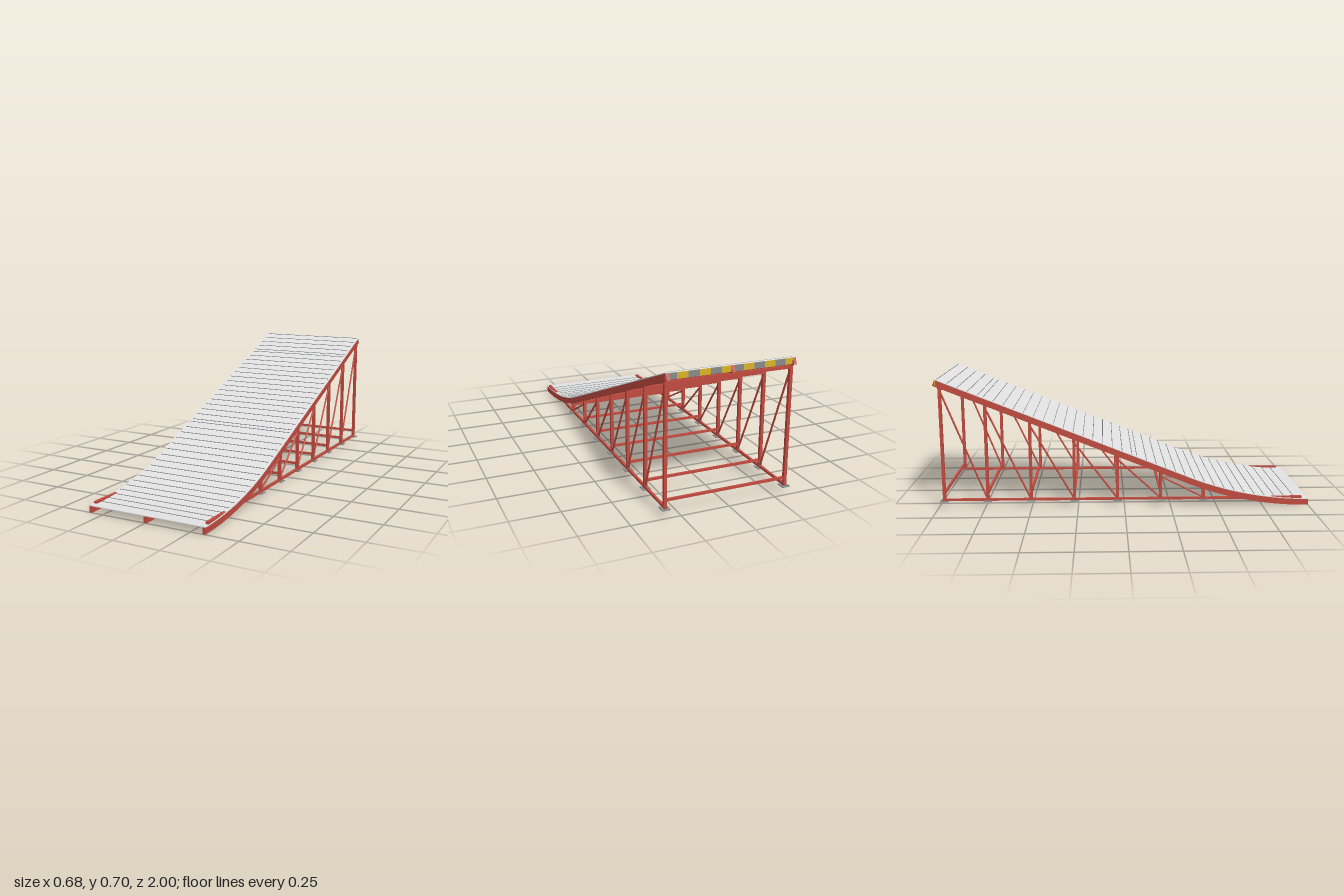
import * as THREE from 'three';

const mat = (name, color) =>
  Object.assign(new THREE.MeshStandardMaterial({ color }), { name });

export function createModel() {
  const model = new THREE.Group();
  model.name = 'ramp';
  const steel = mat('deckGrey', 0xe2e2e2);
  const red = mat('frameRed', 0xc24b40);
  const grey = mat('midGrey', 0x87898c);
  const yellow = mat('warningYellow', 0xd8b428);

  // Running surface: an arc that blends into a straight slope, by length s
  const angle = 0.3805, radius = 1.75, arc = radius * angle, total = 2.109;
  const startY = 0.037;
  function along(s, drop) {
    const a = Math.min(s / radius, angle), rest = Math.max(s - arc, 0);
    const u = radius * Math.sin(a) + rest * Math.cos(a);
    const h = radius * (1 - Math.cos(a)) + rest * Math.sin(a);
    return { a, z: 1 - u - drop * Math.sin(a), y: startY + h - drop * Math.cos(a) };
  }
  // Running surface height at a given z
  function heightAt(z) {
    const u = 1 - z, uArc = radius * Math.sin(angle);
    if (u < uArc) return startY + radius - Math.sqrt(radius * radius - u * u);
    return startY + radius * (1 - Math.cos(angle)) + (u - uArc) * Math.tan(angle);
  }

  function add(name, geometry, material) {
    const mesh = new THREE.Mesh(geometry, material);
    mesh.name = name;
    model.add(mesh);
    return mesh;
  }
  function box(name, w, h, d, x, y, z, material, tilt = 0) {
    const mesh = add(name, new THREE.BoxGeometry(w, h, d), material);
    mesh.position.set(x, y, z);
    mesh.rotation.x = tilt;
  }
  // Band that follows the running surface between two depths below it
  function band(name, width, x, top, bottom, material) {
    const stops = [];
    for (let i = 0; i <= 28; i++) stops.push((arc * i) / 28);
    stops.push(total);
    const lower = stops.map((s) => along(s, bottom));
    const upper = stops.map((s) => along(s, top)).reverse();
    const shape = new THREE.Shape([...lower, ...upper].map((p) => new THREE.Vector2(-p.z, p.y)));
    const geometry = new THREE.ExtrudeGeometry(shape, { depth: width, bevelEnabled: false });
    geometry.translate(0, 0, -width / 2).rotateY(Math.PI / 2);
    add(name, geometry, material).position.x = x;
  }

  // Deck sheet and its three curved stringers
  band('deck', 0.66, 0, 0, 0.004, steel);
  for (const x of [-0.321, 0, 0.321]) band('stringer', 0.016, x, 0.004, 0.037, red);

  // Grip ribs in three panels: [first length, count]
  const step = 0.0563;
  for (const [first, count] of [[2.1, 5], [1.845, 16], [0.972, 17]]) {
    for (let i = 0; i < count; i++) {
      const p = along(first - i * step, -0.0006);
      box('gripRib', 0.64, 0.003, 0.003, 0, p.y, p.z, grey, p.a);
    }
  }

  // Side frames with posts, feet, ties and braces
  const postZ = Array.from({ length: 7 }, (_, i) => 0.428 - 0.2328 * i);
  const underside = (z) => heightAt(z) - 0.038;
  for (const side of [-1, 1]) {
    const x = side * 0.32;
    box('bottomRail', 0.012, 0.012, 1.69, x, 0.042, -0.135, red);
    box('entryKerb', 0.017, 0.018, 0.165, side * 0.3175, 0.0395, 0.883, red);
    postZ.forEach((z, i) => {
      const top = underside(z) + 0.006;
      box('post', 0.016, top - 0.036, 0.016, x, (top + 0.036) / 2, z, red);
      box('footPlate', 0.042, 0.004, 0.045, x, 0.036, z, grey);
      if (i === 0) return;
      // Brace from the foot of the previous post to the head of this one
      const a = new THREE.Vector3(x, 0.05, postZ[i - 1] - 0.004);
      const b = new THREE.Vector3(x, underside(z) - 0.022, z + 0.004);
      const brace = add('brace', new THREE.CylinderGeometry(0.005, 0.005, a.distanceTo(b), 8), red);
      brace.position.copy(a).add(b).multiplyScalar(0.5);
      brace.quaternion.setFromUnitVectors(new THREE.Vector3(0, 1, 0), b.sub(a).normalize());
    });
  }

  // Cross members between the two frames
  postZ.forEach((z, i) => {
    box('upperCrossbar', 0.64, 0.014, 0.014, 0, underside(z) - 0.008, z, red);
    if (i > 0) box('lowerCrossbar', 0.64, 0.012, 0.012, 0, 0.078, z, red);
  });

  // Striped upright warning plate tucked under the high end of the deck
  for (let i = 0; i < 12; i++) {
    box('warningStripe', 0.055, 0.03, 0.006, 0.3025 - 0.055 * i, 0.678, -0.989,
      i % 2 ? yellow : grey);
  }
  return model;
}
